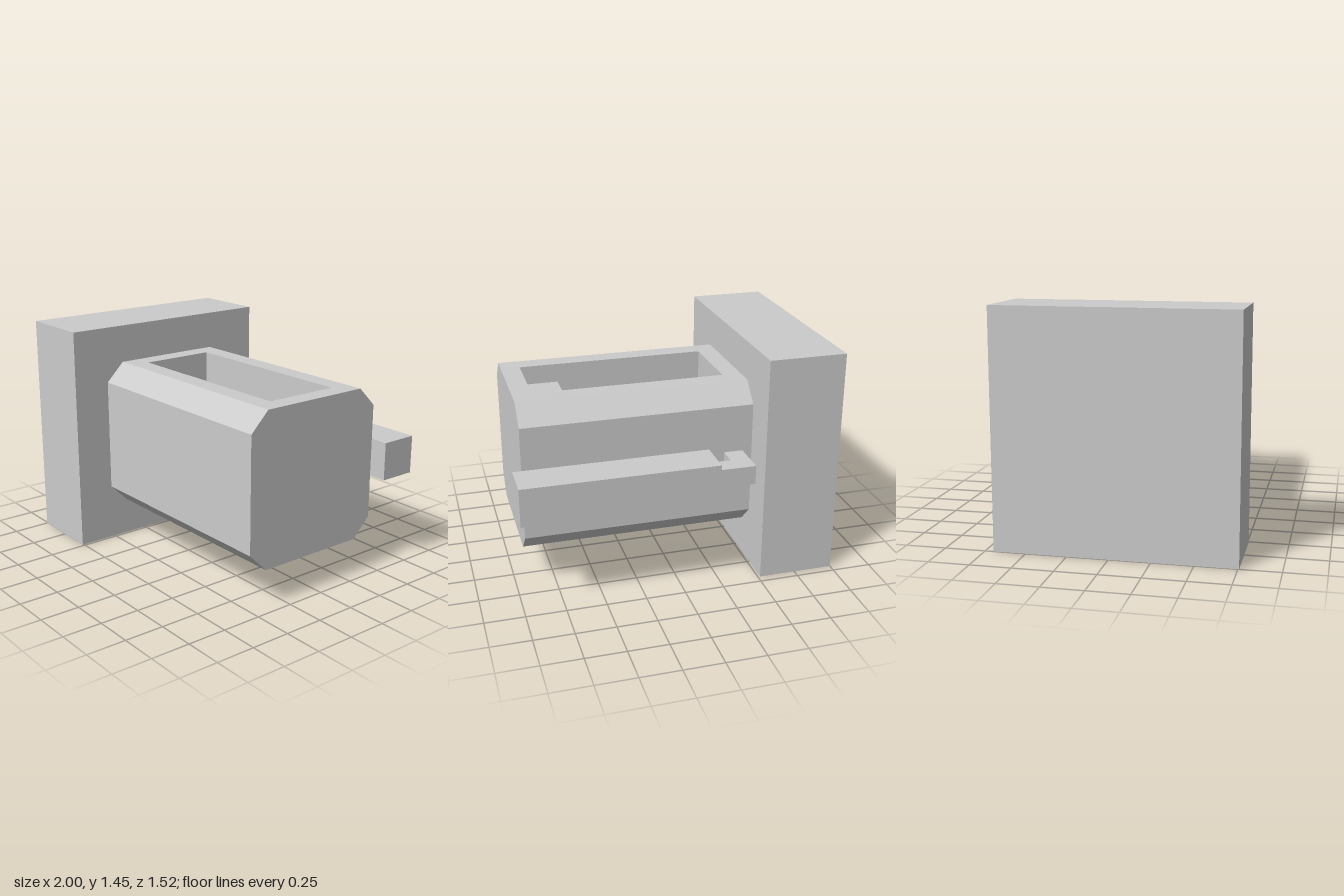
import * as THREE from 'three';

// Dimensions are in modules: the back plate is 12 x 12 x 4, the whole is 16.5 long.
const UNIT = 2 / 16.5;
const MID_Z = 0.25; // centre line of plate and housing

export function createModel() {
  const model = new THREE.Group();
  model.name = 'model';
  const parts = new THREE.Group();
  parts.name = 'parts';
  parts.scale.setScalar(UNIT);
  parts.position.x = -1;
  model.add(parts);

  const material = new THREE.MeshStandardMaterial({ color: 0xcccccc });
  const add = (name, geometry) => {
    const mesh = new THREE.Mesh(geometry, material);
    mesh.name = name;
    parts.add(mesh);
    return mesh;
  };
  // Box given by its limits on each axis
  const box = (name, [x0, x1], [y0, y1], [z0, z1]) =>
    add(name, new THREE.BoxGeometry(x1 - x0, y1 - y0, z1 - z0))
      .position.set((x0 + x1) / 2, (y0 + y1) / 2, (z0 + z1) / 2);
  // Cross-section extruded along x
  const prism = (name, points, x0, x1) => {
    const shape = new THREE.Shape(points.map(([a, b]) => new THREE.Vector2(a, b)));
    const geometry = new THREE.ExtrudeGeometry(shape, { depth: x1 - x0, bevelEnabled: false });
    add(name, geometry.rotateY(Math.PI / 2)).position.set(x0, 0, MID_Z);
  };

  // Back plate
  box('backPlate', [0, 4], [0, 12], [-5.75, 6.25]);

  // Chamfered housing: solid ends and a middle with an open-topped pocket
  const lower = [[-4, 9], [-4, 3], [-3, 2], [3, 2], [4, 3], [4, 9], [3, 10]];
  const solid = [...lower, [-3, 10]];
  const notched = [...lower, [2, 10], [2, 5], [-2, 5], [-2, 10], [-3, 10]];
  prism('housingInnerEnd', solid, 4, 5);
  prism('housingMiddle', notched, 5, 15);
  prism('housingOuterEnd', solid, 15, 16);

  // Cylinder and end block lying in the pocket
  const roller = new THREE.CylinderGeometry(2, 2, 8, 64).rotateZ(Math.PI / 2);
  add('pocketCylinder', roller).position.set(9, 7, MID_Z);
  box('pocketBlock', [13, 15], [5, 9], [-1.75, 2.25]);

  // Side bar on an L-shaped bracket
  box('bracketStem', [4.5, 5.5], [5.5, 6.5], [-4.75, -3.75]);
  box('bracketArm', [4.5, 6.5], [5.5, 6.5], [-5.75, -4.75]);
  box('sideBar', [6.5, 16.5], [5, 7], [-6.25, -4.25]);

  return model;
}
